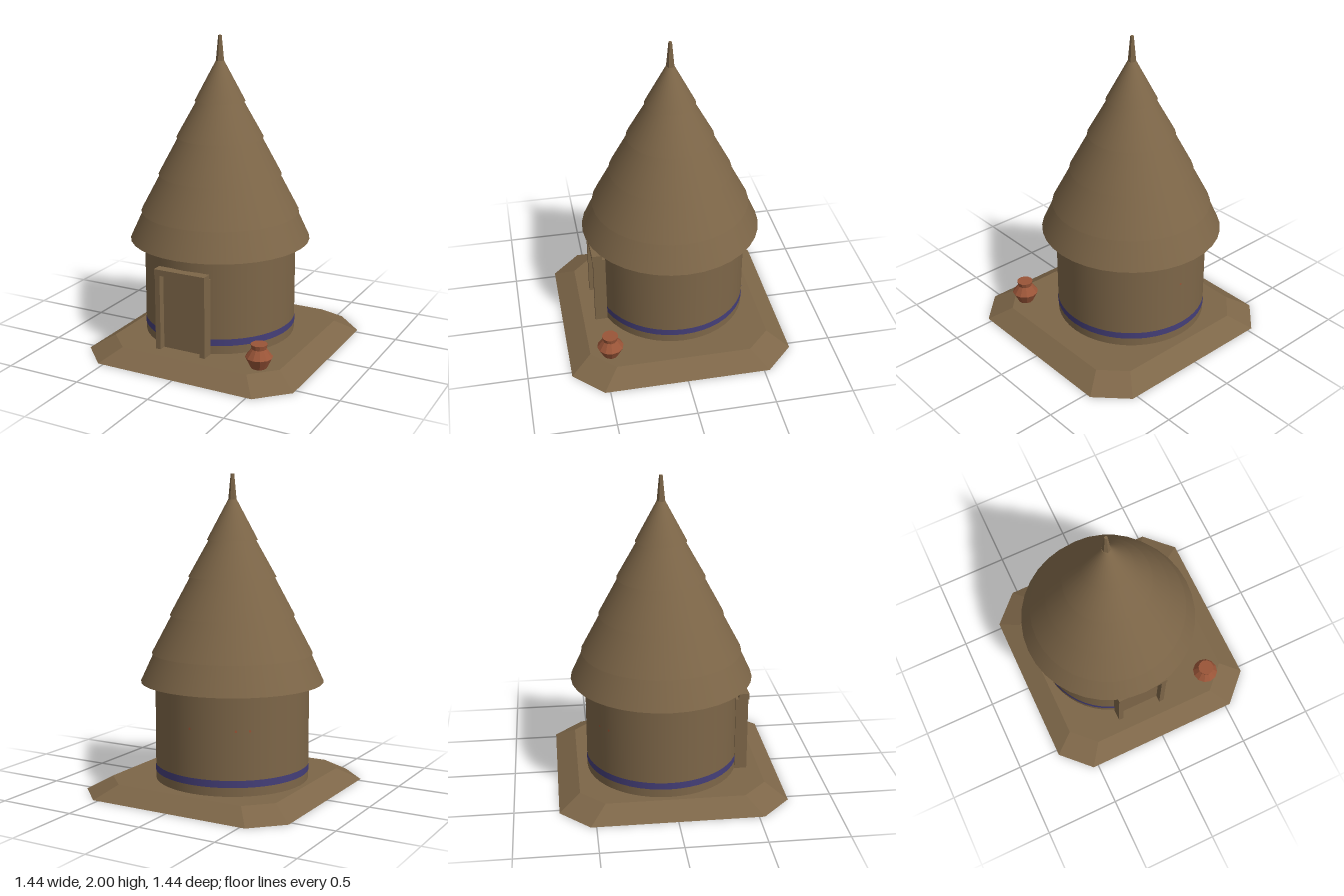
import * as THREE from 'three';

const clay = new THREE.MeshStandardMaterial({ color: 0x7d6648, side: THREE.DoubleSide });
clay.name = 'clay brown';
const terracotta = new THREE.MeshStandardMaterial({ color: 0x9a5538 });
terracotta.name = 'terracotta';
const indigo = new THREE.MeshStandardMaterial({ color: 0x443e78 });
indigo.name = 'indigo paint';

const HUT_X = -0.064, HUT_Z = -0.033, WALL_R = 0.489, FLOOR = 0.08;

function add(parent, name, geometry, material, x = 0, y = 0, z = 0) {
  const mesh = new THREE.Mesh(geometry, material);
  mesh.name = name;
  mesh.position.set(x, y, z);
  parent.add(mesh);
  return mesh;
}

// sharp facets on every face
function faceted(geometry) {
  const g = geometry.index ? geometry.toNonIndexed() : geometry;
  g.computeVertexNormals();
  return g;
}

// upright frustum from y0 to y1
function frustum(parent, name, material, r0, r1, y0, y1, sides = 36, facets = false) {
  const g = new THREE.CylinderGeometry(r1, r0, y1 - y0, sides);
  return add(parent, name, facets ? faceted(g) : g, material, 0, (y0 + y1) / 2, 0);
}

// box given by its limits
function block(parent, name, material, x0, x1, y0, y1, z0, z1) {
  return add(parent, name, new THREE.BoxGeometry(x1 - x0, y1 - y0, z1 - z0), material,
    (x0 + x1) / 2, (y0 + y1) / 2, (z0 + z1) / 2);
}

// square with cut corners, counterclockwise
function octagon(half, cut) {
  return [[half, -cut], [half, cut], [cut, half], [-cut, half],
    [-half, cut], [-half, -cut], [-cut, -half], [cut, -half]].map(p => new THREE.Vector2(...p));
}

function createPlatform() {
  const platform = new THREE.Group();
  platform.name = 'platform';
  const low = octagon(0.72, 0.535), high = octagon(0.587, 0.436);

  // sloping sides
  const points = [];
  for (let i = 0; i < 8; i++) {
    const j = (i + 1) % 8;
    const a = [low[i].x, 0, -low[i].y], b = [low[j].x, 0, -low[j].y];
    const c = [high[j].x, FLOOR, -high[j].y], d = [high[i].x, FLOOR, -high[i].y];
    points.push(...a, ...b, ...c, ...a, ...c, ...d);
  }
  const sides = new THREE.BufferGeometry();
  sides.setAttribute('position', new THREE.Float32BufferAttribute(points, 3));
  add(platform, 'platformSides', faceted(sides), clay);

  const top = new THREE.ShapeGeometry(new THREE.Shape(high));
  add(platform, 'platformTop', top.rotateX(-Math.PI / 2), clay, 0, FLOOR, 0);

  // underside with a round stepped recess below the hut
  const under = new THREE.Shape(low);
  under.holes.push(new THREE.Path().absarc(HUT_X, HUT_Z, 0.535, 0, Math.PI * 2, true));
  add(platform, 'platformUnderside', new THREE.ShapeGeometry(under, 24).rotateX(Math.PI / 2), clay);
  const step = [[0.535, 0], [0.535, 0.035], [WALL_R, 0.035], [WALL_R, 0.06], [0, 0.06]];
  const recess = new THREE.LatheGeometry(step.map(p => new THREE.Vector2(...p)), 48);
  add(platform, 'platformRecess', faceted(recess), clay, HUT_X, 0, HUT_Z);
  return platform;
}

function createHut() {
  const hut = new THREE.Group();
  hut.name = 'hut';
  hut.position.set(HUT_X, 0, HUT_Z);
  frustum(hut, 'wall', clay, WALL_R, WALL_R, 0.065, 0.71, 48);

  // painted stripe round the wall
  const stripe = new THREE.CylinderGeometry(WALL_R + 0.003, WALL_R + 0.003, 0.044, 48, 1, true);
  add(hut, 'wallStripe', stripe, indigo, 0, 0.157, 0);

  // tiny painted dots on the back
  for (const degrees of [178, 212, 222]) {
    const a = THREE.MathUtils.degToRad(degrees), r = WALL_R + 0.001;
    const dot = add(hut, 'wallDot', new THREE.CircleGeometry(0.008, 8), terracotta,
      Math.sin(a) * r, 0.48, Math.cos(a) * r);
    dot.rotation.y = a;
  }

  // overlapping thatch tiers: [radius, height] at each lower edge
  const tiers = [[0.58, 0.70], [0.509, 0.88], [0.394, 1.12], [0.277, 1.36], [0.16, 1.59], [0.039, 1.84]];
  for (let i = 0; i < tiers.length - 1; i++) {
    const [r, y] = tiers[i], [nextR, nextY] = tiers[i + 1];
    frustum(hut, 'thatchTier', clay, r, nextR - 0.012, y, nextY);
  }
  frustum(hut, 'spire', clay, 0.027, 0.011, 1.83, 2.0, 6, true);

  // door, posts and lintel
  const door = new THREE.Group();
  door.name = 'door';
  hut.add(door);
  block(door, 'doorPanel', clay, -0.142, 0.142, FLOOR, 0.575, 0.42, 0.494);
  for (const s of [-1, 1]) {
    const inner = s * 0.14, outer = s * 0.174;
    block(door, 'doorPost', clay, Math.min(inner, outer), Math.max(inner, outer), FLOOR, 0.575, 0.46, 0.54);
  }
  block(door, 'doorLintel', clay, -0.176, 0.176, 0.572, 0.61, 0.48, 0.546);
  return hut;
}

function createPot() {
  const profile = [[0, 0], [0.05, 0], [0.085, 0.07], [0.046, 0.122], [0.052, 0.152], [0, 0.152]];
  const geometry = new THREE.LatheGeometry(profile.map(p => new THREE.Vector2(...p)), 12);
  const pot = new THREE.Mesh(faceted(geometry), terracotta);
  pot.name = 'pot';
  pot.position.set(0.458, FLOOR, 0.458);
  return pot;
}

export function createModel() {
  const model = new THREE.Group();
  model.name = 'thatchedHut';
  model.add(createPlatform(), createHut(), createPot());
  return model;
}
